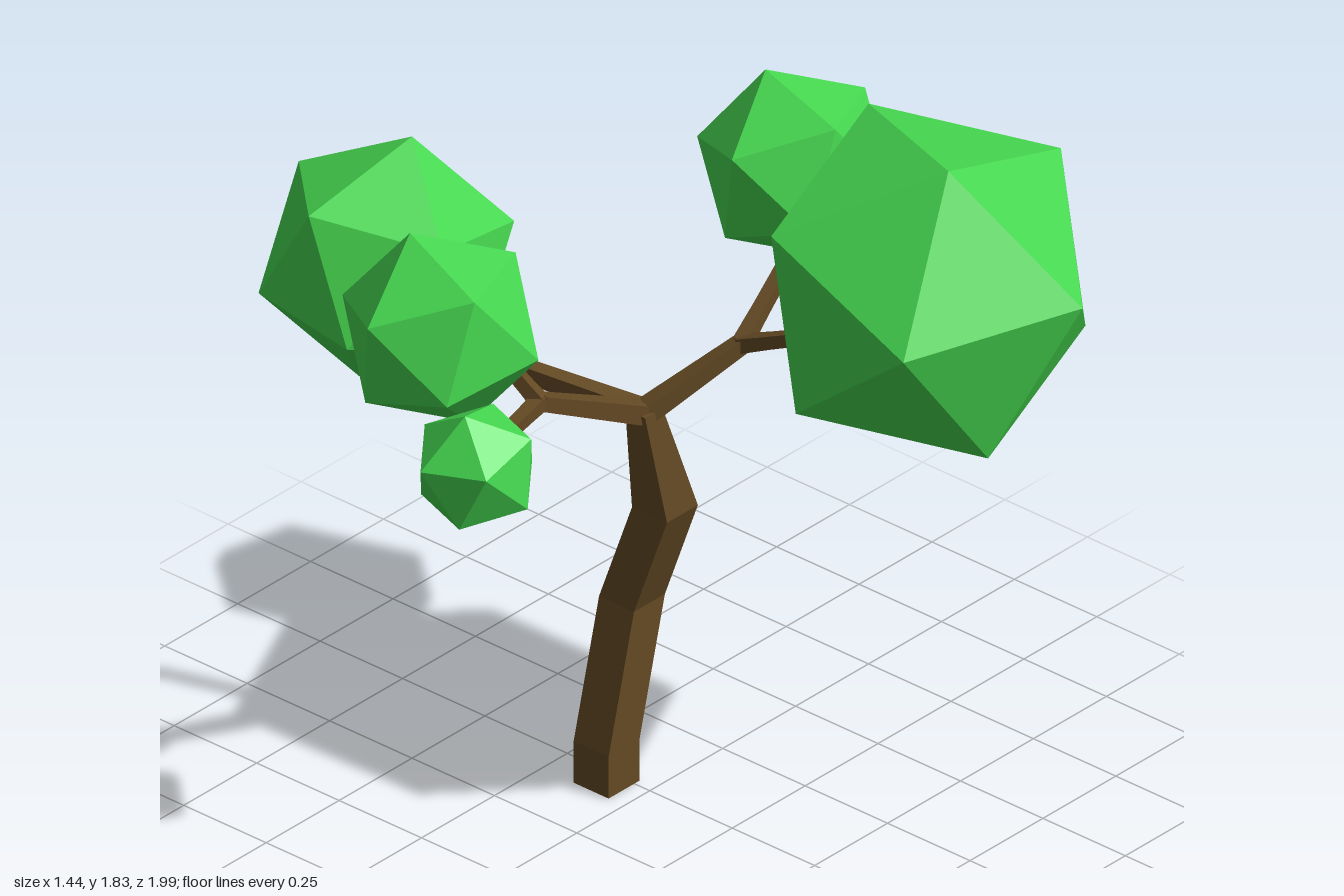
import * as THREE from 'three';

const V = (p) => new THREE.Vector3(...p);
const bark = new THREE.MeshStandardMaterial({ color: 0x644a24, flatShading: true });
const leaf = new THREE.MeshStandardMaterial({ color: 0x45d64f, flatShading: true });

// Square limb through points [x, y, z, halfWidth]; rings stay square to axis n
function limb(name, points, axis) {
  const n = axis.clone().normalize();
  const w = new THREE.Vector3(0, 1, 0).cross(n);
  if (w.lengthSq() < 1e-4) w.set(1, 0, 0);
  w.normalize();
  const u = w.clone().cross(n);
  const corners = [[1, -1], [1, 1], [-1, 1], [-1, -1]];
  const rings = points.map(([x, y, z, h]) => corners.map(([a, b]) =>
    new THREE.Vector3(x, y, z).addScaledVector(u, a * h).addScaledVector(w, b * h)));
  const tris = [];
  const quad = (a, b, c, d) => tris.push(a, b, c, a, c, d);
  for (let i = 0; i + 1 < rings.length; i++) {
    const [p, q] = [rings[i], rings[i + 1]];
    for (let k = 0; k < 4; k++) {
      const m = (k + 1) % 4;
      quad(p[k], p[m], q[m], q[k]);
    }
  }
  const first = rings[0], last = rings[rings.length - 1];
  quad(first[3], first[2], first[1], first[0]);
  quad(last[0], last[1], last[2], last[3]);
  const geo = new THREE.BufferGeometry().setFromPoints(tris);
  geo.computeVertexNormals();
  const mesh = new THREE.Mesh(geo, bark);
  mesh.name = name;
  return mesh;
}

// Orthonormal frame from two neighbouring corner directions
function frame(a, b) {
  const e1 = a.clone().normalize();
  const e3 = a.clone().cross(b).normalize();
  return new THREE.Matrix4().makeBasis(e1, e3.clone().cross(e1), e3);
}

// Icosahedron leaf clump turned so two neighbouring corners point along a and b
function clump(name, centre, radius, a, b) {
  const t = (1 + Math.sqrt(5)) / 2;
  const geo = new THREE.IcosahedronGeometry(radius, 0);
  const turn = frame(V(a), V(b)).multiply(frame(V([-1, t, 0]), V([1, t, 0])).transpose());
  geo.applyMatrix4(turn);
  const mesh = new THREE.Mesh(geo, leaf);
  mesh.name = name;
  mesh.position.set(...centre);
  return mesh;
}

export function createModel() {
  const tree = new THREE.Group();
  tree.name = 'tree';

  // Crooked trunk
  tree.add(limb('trunk', [
    [-0.035, 0, -0.1, 0.053], [-0.035, 0.11, -0.1, 0.053], [0.052, 0.455, -0.1, 0.053],
    [0.052, 0.73, 0, 0.053], [-0.02, 1.02, 0, 0.03],
  ], new THREE.Vector3(0, 1, 0)));

  // Three boughs, each forking into two twigs
  const root = [-0.02, 1.01, 0];
  const boughs = [
    { name: 'right', fork: [-0.31, 1.145, -0.06], tips: [[-0.48, 1.13, -0.03], [-0.35, 1.235, -0.12]] },
    { name: 'left', fork: [0.18, 1.15, 0.12], tips: [[0.2, 1.24, 0.32], [0.38, 1.28, 0.09]] },
    { name: 'back', fork: [-0.14, 1.065, -0.38], tips: [[-0.19, 1.05, -0.53], [-0.03, 1.21, -0.51]] },
  ];
  for (const { name, fork, tips } of boughs) {
    tree.add(limb(name + 'Bough', [[...root, 0.024], [...fork, 0.018]], V(fork).sub(V(root))));
    tips.forEach((tip, i) => {
      const mid = V(fork).lerp(V(tip), 0.4).toArray();
      tree.add(limb(name + 'Twig' + (i + 1),
        [[...fork, 0.018], [...mid, 0.016], [...tip, 0.015]], V(tip).sub(V(fork))));
    });
  }

  // Leaf clumps
  tree.add(
    clump('frontLeaves', [0.305, 1.44, 0.575], 0.427, [-0.095, 0.39, 0.145], [0.055, 0.07, 0.415]),
    clump('rightLeaves', [-0.452, 1.335, -0.235], 0.242, [-0.02, 0.23, -0.075], [-0.22, 0.095, -0.025]),
    clump('smallRightLeaves', [-0.578, 1.11, -0.015], 0.155, [-0.038, 0.148, 0], [-0.145, 0.035, -0.04]),
    clump('leftLeaves', [0.507, 1.432, -0.008], 0.234, [0.097, -0.03, 0.21], [0.213, -0.1, 0.01]),
    clump('backLeaves', [-0.07, 1.152, -0.737], 0.302, [0.07, 0.29, 0.015], [0.27, 0.07, -0.12]),
  );
  return tree;
}
